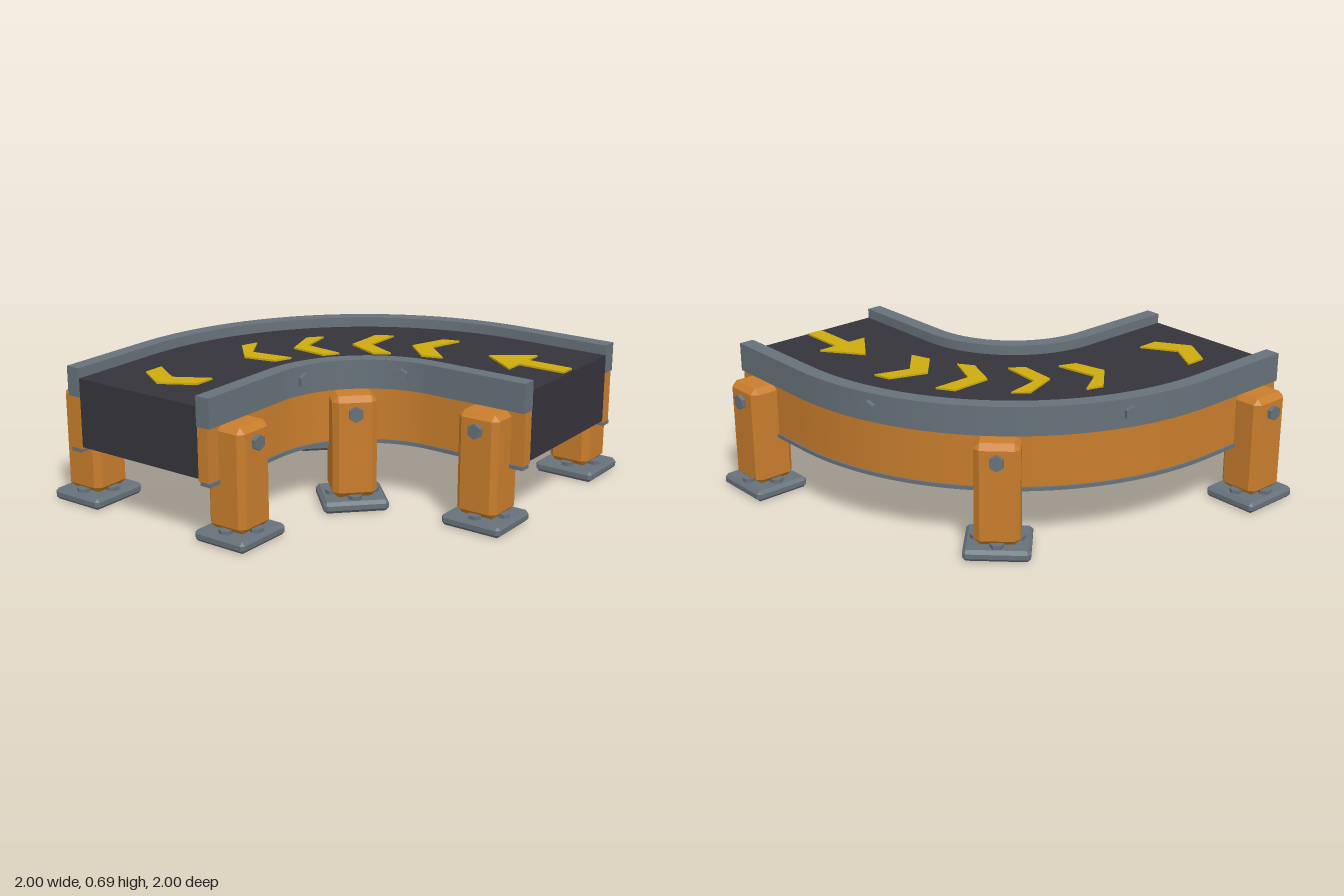
import * as THREE from 'three';
import { ConvexGeometry } from 'three/addons/geometries/ConvexGeometry.js';

const material = (name, color) => {
  const m = new THREE.MeshStandardMaterial({ color });
  m.name = name;
  return m;
};

// The bend turns about (CX, CZ); straight runs continue to x = -1 and z = 1.
const CX = -0.5, CZ = 0.5;

// Quarter-turn band between two radii with straight ends, from y0 to y1
function bandGeometry(r0, r1, y0, y1) {
  const s = new THREE.Shape();
  s.moveTo(-1, -CZ + r1);
  s.lineTo(CX, -CZ + r1);
  s.absarc(CX, -CZ, r1, Math.PI / 2, 0, true);
  s.lineTo(CX + r1, -1);
  s.lineTo(CX + r0, -1);
  s.lineTo(CX + r0, -CZ);
  s.absarc(CX, -CZ, r0, 0, Math.PI / 2, false);
  s.lineTo(-1, -CZ + r0);
  s.closePath();
  return slab(s, y0, y1);
}

// Plan shape (x, -z) extruded upwards
function slab(shape, y0, y1) {
  const g = new THREE.ExtrudeGeometry(shape, { depth: y1 - y0, bevelEnabled: false, curveSegments: 24 });
  return g.rotateX(-Math.PI / 2).translate(0, y0, 0);
}

// Box with every edge cut by c
function chamferBox(w, h, d, c) {
  const pts = [];
  for (const x of [-1, 1]) for (const y of [-1, 1]) for (const z of [-1, 1]) {
    for (let full = 0; full < 3; full++) {
      const k = [0, 1, 2].map((i) => (i === full ? 0 : c));
      pts.push(new THREE.Vector3(x * (w / 2 - k[0]), y * (h / 2 - k[1]), z * (d / 2 - k[2])));
    }
  }
  return new ConvexGeometry(pts);
}

// Hexagonal bolt head whose axis lies along x
function sideBolt() {
  return new THREE.CylinderGeometry(0.037, 0.037, 0.04, 6).toNonIndexed()
    .rotateY(Math.PI / 6).rotateZ(Math.PI / 2);
}

export function createModel() {
  const model = new THREE.Group();
  model.name = 'curvedConveyor';
  const grey = material('steelGrey', 0x67717a);
  const orange = material('frameOrange', 0xc87d2c);
  const dark = material('beltDark', 0x36343b);
  const yellow = material('markingYellow', 0xccaa0e);
  for (const m of [grey, orange, dark, yellow]) m.flatShading = true;

  const add = (parent, name, geometry, mat, x = 0, y = 0, z = 0) => {
    const mesh = new THREE.Mesh(geometry, mat);
    mesh.name = name;
    mesh.position.set(x, y, z);
    parent.add(mesh);
    return mesh;
  };

  // Belt body and the frame on both sides of it
  add(model, 'belt', bandGeometry(0.56, 1.265, 0.32, 0.652), dark);
  add(model, 'outerRail', bandGeometry(1.265, 1.34, 0.56, 0.7), grey);
  add(model, 'innerRail', bandGeometry(0.485, 0.56, 0.56, 0.7), grey);
  add(model, 'outerSidePlate', bandGeometry(1.27, 1.327, 0.308, 0.56), orange);
  add(model, 'innerSidePlate', bandGeometry(0.498, 0.555, 0.308, 0.56), orange);
  add(model, 'outerLip', bandGeometry(1.28, 1.336, 0.29, 0.308), grey);
  add(model, 'innerLip', bandGeometry(0.489, 0.545, 0.29, 0.308), grey);

  // Direction markings as (x, z) outlines
  const markings = {
    arrow: [[0.41, 0.56], [0.545, 0.75], [0.45, 0.75], [0.45, 0.985], [0.37, 0.985], [0.37, 0.75], [0.275, 0.75]],
    chevron1: [[0.525, 0.23], [0.547, 0.31], [0.38, 0.256], [0.253, 0.4], [0.221, 0.3], [0.344, 0.165]],
    chevron2: [[0.392, -0.09], [0.44, -0.01], [0.243, -0.01], [0.168, 0.16], [0.12, 0.085], [0.19, -0.085]],
    chevron3: [[0.152, -0.34], [0.22, -0.283], [0.045, -0.25], [0.024, -0.043], [-0.045, -0.09], [-0.03, -0.277]],
    chevron4: [[-0.15, -0.507], [-0.065, -0.48], [-0.21, -0.39], [-0.175, -0.18], [-0.26, -0.215], [-0.295, -0.37]],
    chevron5: [[-0.76, -0.575], [-0.655, -0.575], [-0.75, -0.42], [-0.655, -0.26], [-0.76, -0.26], [-0.855, -0.42]],
  };
  for (const [name, pts] of Object.entries(markings)) {
    const shape = new THREE.Shape(pts.map(([x, z]) => new THREE.Vector2(x, -z)));
    add(model, name, slab(shape, 0.652, 0.661), yellow);
  }

  // Leg with foot; local +x faces away from the belt
  const legGeo = chamferBox(0.208, 0.495, 0.21, 0.027);
  const footGeo = chamferBox(0.287, 0.055, 0.31, 0.016);
  const footBoltGeo = new THREE.CylinderGeometry(0.033, 0.033, 0.03, 6);
  const boltGeo = sideBolt();
  function addLeg(name, x, z, angle) {
    const leg = new THREE.Group();
    leg.name = name;
    leg.position.set(x, 0, z);
    leg.rotation.y = angle;
    add(leg, 'post', legGeo, orange, 0, 0.3125, 0);
    add(leg, 'foot', footGeo, grey, 0, 0.0325, 0);
    add(leg, 'postBolt', boltGeo, grey, 0.106, 0.48, 0);
    for (const s of [-1, 1]) {
      add(leg, 'footBolt', footBoltGeo, grey, s * 0.095, 0.063, 0);
      add(leg, 'footBolt', footBoltGeo, grey, 0, 0.063, s * 0.097);
    }
    model.add(leg);
  }

  // Three legs and two rail bolts along each side
  const sides = [
    { name: 'outer', r: 1.355, bend: 1.34, turn: 0, boltR: 1.342, boltAngle: 19 },
    { name: 'inner', r: 0.4725, bend: 0.455, turn: Math.PI, boltR: 0.482, boltAngle: 17 },
  ];
  for (const { name, r, bend, turn, boltR, boltAngle } of sides) {
    const d = bend * Math.SQRT1_2;
    addLeg(name + 'FrontLeg', CX + r, 0.825, turn);
    addLeg(name + 'MiddleLeg', CX + d, CZ - d, Math.PI / 4 + turn);
    addLeg(name + 'EndLeg', -0.825, CZ - r, Math.PI / 2 + turn);
    for (const deg of [boltAngle, 90 - boltAngle]) {
      const a = THREE.MathUtils.degToRad(deg);
      const bolt = add(model, name + 'RailBolt', boltGeo, grey,
        CX + boltR * Math.cos(a), 0.63, CZ - boltR * Math.sin(a));
      bolt.rotation.y = a;
    }
  }
  // Centre the bounds on the origin and stand the feet on the ground
  const box = new THREE.Box3().setFromObject(model);
  const c = box.getCenter(new THREE.Vector3());
  for (const part of model.children) {
    part.position.x -= c.x;
    part.position.y -= box.min.y;
    part.position.z -= c.z;
  }
  return model;
}
